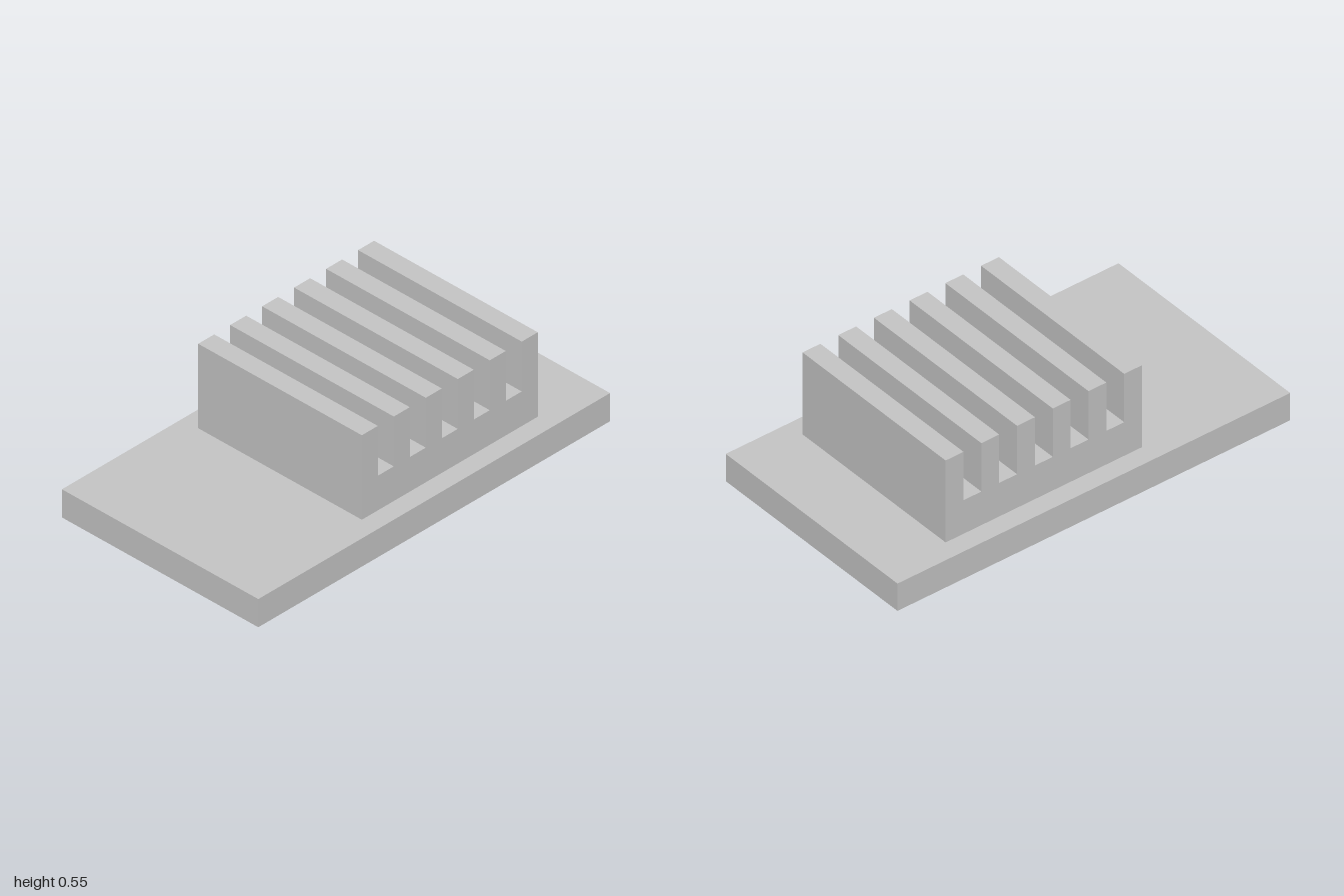
import * as THREE from 'three';

export function createModel() {
  const group = new THREE.Group();
  const grey = new THREE.MeshStandardMaterial({ color: 0xc6c6c6 });
  grey.name = 'light grey metal';

  const unit = 1 / 11; // fin thickness, equal to the gap between fins
  const baseTop = 1.5 * unit, slotFloor = 0.304, finTop = 6 * unit;
  const depth = 10 * unit, left = -3.5 * unit, finCount = 6;

  // Flat base plate
  const base = new THREE.Mesh(new THREE.BoxGeometry(2, baseTop, 12 * unit), grey);
  base.name = 'basePlate';
  base.position.y = baseTop / 2;
  group.add(base);

  // Finned block: comb profile extruded front to back
  const profile = new THREE.Shape();
  profile.moveTo(left, baseTop);
  for (let i = finCount - 1; i >= 0; i--) {
    const x = left + 2 * i * unit;
    profile.lineTo(x + unit, i === finCount - 1 ? baseTop : slotFloor);
    profile.lineTo(x + unit, finTop);
    profile.lineTo(x, finTop);
    if (i > 0) profile.lineTo(x, slotFloor);
  }
  profile.closePath();
  const comb = new THREE.ExtrudeGeometry(profile, { depth, bevelEnabled: false });
  comb.translate(0, 0, -depth / 2);
  const fins = new THREE.Mesh(comb, grey);
  fins.name = 'finnedBlock';
  group.add(fins);

  return group;
}
